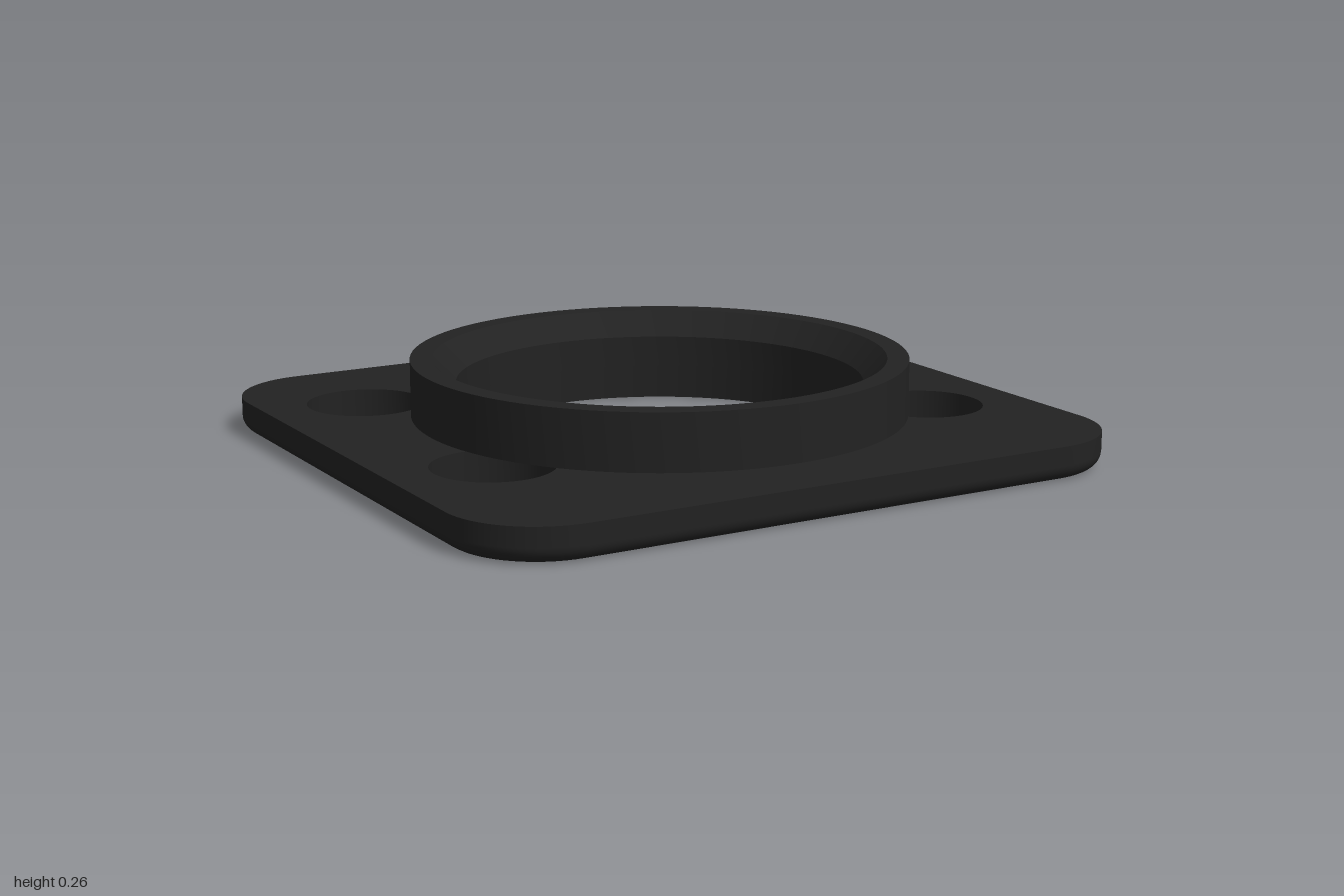
import * as THREE from 'three';
import { toCreasedNormals } from 'three/addons/utils/BufferGeometryUtils.js';

const HALF_X = 1, HALF_Z = 0.932, CORNER = 0.26;
const PLATE_TOP = 0.1, FILLET = 0.045, BORE = 0.585, SEGMENTS = 96;

// Bolt holes and central bore: [x, z, radius]
const HOLES = [[0, 0, BORE]];
for (const side of [-1, 1]) {
  for (const z of [-0.505, 0.33]) HOLES.push([side * 0.7, z, 0.17]);
}

// Rounded rectangle, counter-clockwise, shrunk by an inset
function outline(inset) {
  const points = [], steps = 16, r = CORNER - inset;
  const cx = HALF_X - CORNER, cy = HALF_Z - CORNER;
  [[1, 1], [-1, 1], [-1, -1], [1, -1]].forEach(([sx, sy], q) => {
    for (let i = 0; i <= steps; i++) {
      const a = (q + i / steps) * Math.PI / 2;
      points.push(new THREE.Vector2(sx * cx + r * Math.cos(a), sy * cy + r * Math.sin(a)));
    }
  });
  return points;
}

// Flat plate face with all holes; up is 1 for the top and -1 for the underside
function plateFace(inset, y, up) {
  const shape = new THREE.Shape(outline(inset));
  for (const [x, z, r] of HOLES) {
    const hole = new THREE.Path();
    hole.absarc(x, -z * up, r, 0, Math.PI * 2, true);
    shape.holes.push(hole);
  }
  return new THREE.ShapeGeometry(shape, SEGMENTS / 2).rotateX(-up * Math.PI / 2).translate(0, y, 0);
}

// Outer wall with a rounded lower edge, lofted through inset outlines
function plateRim() {
  const rows = [], steps = 8;
  for (let i = 0; i <= steps; i++) {
    const a = i / steps * Math.PI / 2;
    rows.push([FILLET * (1 - Math.sin(a)), FILLET * (1 - Math.cos(a))]);
  }
  rows.push([0, PLATE_TOP]);
  const position = [], index = [], n = outline(0).length;
  rows.forEach(([inset, y], j) => {
    outline(inset).forEach((p, i) => {
      position.push(p.x, y, -p.y);
      if (j === rows.length - 1) return;
      const a = j * n + i, b = j * n + (i + 1) % n;
      index.push(a, b, b + n, a, b + n, a + n);
    });
  });
  const geometry = new THREE.BufferGeometry();
  geometry.setAttribute('position', new THREE.Float32BufferAttribute(position, 3));
  geometry.setIndex(index);
  geometry.computeVertexNormals();
  return geometry;
}

function lathe(profile) {
  return new THREE.LatheGeometry(profile.map(([r, y]) => new THREE.Vector2(r, y)), SEGMENTS);
}

export function createModel() {
  const model = new THREE.Group();
  model.name = 'flange';
  const black = new THREE.MeshStandardMaterial({ color: 0x222222 });
  black.name = 'black';

  const add = (name, geometry, parent) => {
    const mesh = new THREE.Mesh(geometry, black);
    mesh.name = name;
    parent.add(mesh);
    return mesh;
  };

  // Base plate
  const plate = new THREE.Group();
  plate.name = 'basePlate';
  model.add(plate);
  add('plateTop', plateFace(0, PLATE_TOP, 1), plate);
  add('plateUnderside', plateFace(FILLET, 0, -1), plate);
  add('plateRim', plateRim(), plate);

  // Inward-facing walls of the bore and bolt holes
  HOLES.forEach(([x, z, r], i) => {
    const wall = add(i ? 'boltHoleWall' : 'boreWall', lathe([[r, PLATE_TOP], [r, 0]]), plate);
    wall.position.set(x, 0, z);
  });

  // Raised collar with a chamfered mouth
  const collar = lathe([
    [BORE, PLATE_TOP], [0.715, PLATE_TOP], [0.715, 0.263],
    [0.652, 0.263], [BORE, 0.192], [BORE, PLATE_TOP],
  ]);
  add('collar', toCreasedNormals(collar, Math.PI / 6), model);

  return model;
}
